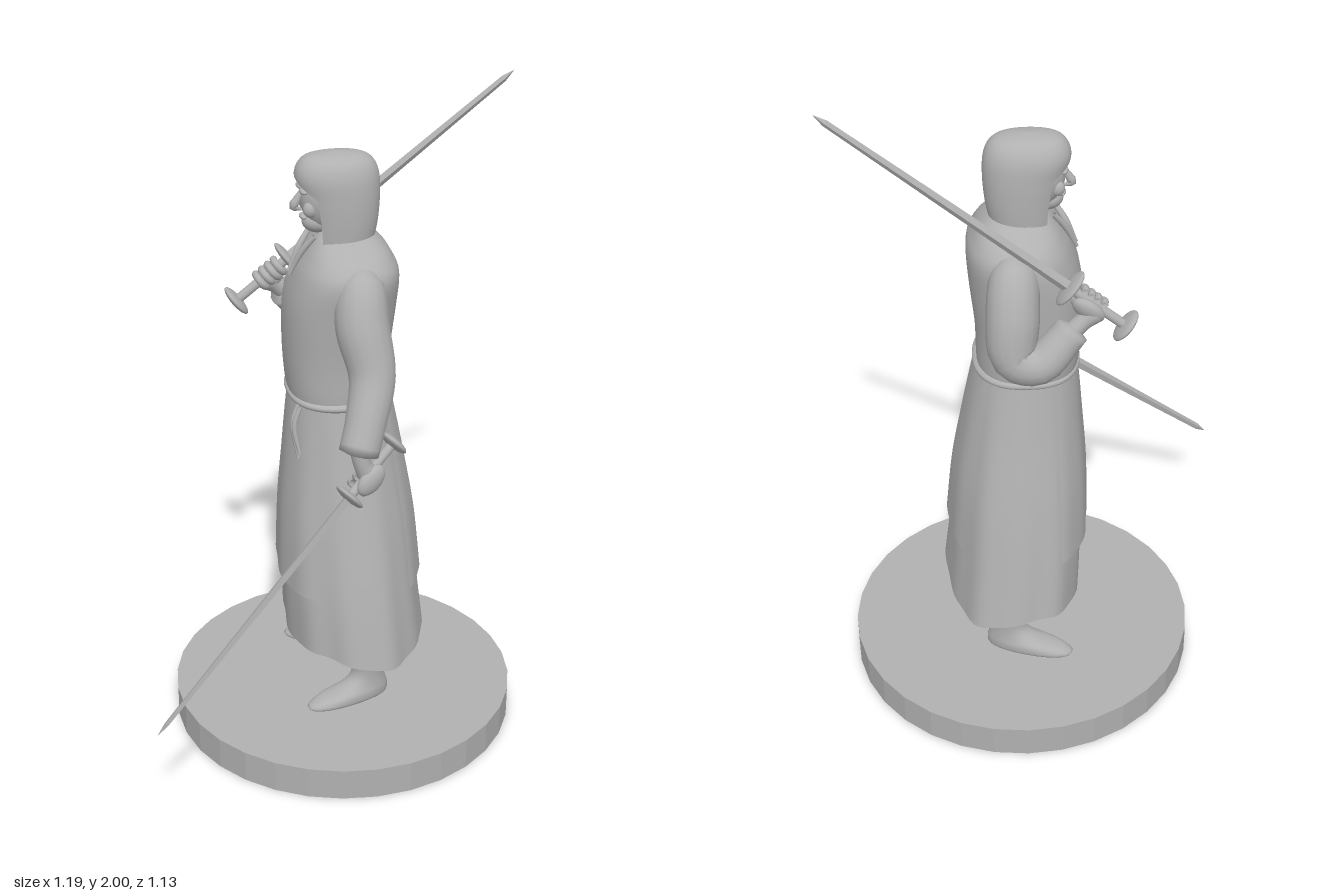
import * as THREE from 'three';
import { mergeVertices } from 'three/addons/utils/BufferGeometryUtils.js';

const stone = new THREE.MeshStandardMaterial({ color: 0xb0b0b0, side: THREE.DoubleSide });
stone.name = 'grey stone';
const V = (p) => new THREE.Vector3(p[0], p[1], p[2]);

function add(parent, name, geometry) {
  const mesh = new THREE.Mesh(geometry, stone);
  mesh.name = name;
  parent.add(mesh);
  return mesh;
}

// Catmull-Rom sample of a table of rows, t in 0..1
function sample(rows, t) {
  const n = rows.length - 1, i = Math.min(Math.floor(t * n), n - 1), f = t * n - i;
  const at = (j) => rows[Math.max(0, Math.min(n, j))];
  return rows[i].map((_, c) => {
    const [a, b, d, e] = [at(i - 1)[c], at(i)[c], at(i + 1)[c], at(i + 2)[c]];
    return b + 0.5 * f * (d - a + f * (2 * a - 5 * b + 4 * d - e + f * (3 * (b - d) + e - a)));
  });
}

function smooth(geometry) {
  geometry.deleteAttribute('normal');
  geometry.deleteAttribute('uv');
  const merged = mergeVertices(geometry, 1e-5);
  merged.computeVertexNormals();
  return merged;
}

// Skin over rows of [y, xMin, xMax, zMin, zMax]; angle 0 points to +x (the back)
function loft(rows, { e = 0.9, mid = 0, span = () => Math.PI, grow = 0, fold = () => 0, hem = () => 0, segs = 48, steps = 30 } = {}) {
  const pos = [], idx = [];
  for (let j = 0; j <= steps; j++) {
    const k = j / steps, [y, x0, x1, z0, z1] = sample(rows, k);
    for (let i = 0; i <= segs; i++) {
      const a = mid + (i / segs * 2 - 1) * span(y), c = Math.cos(a), s = Math.sin(a);
      const m = 1 + fold(a) * (1 - k);
      pos.push((x0 + x1) / 2 + ((x1 - x0) / 2 + grow) * m * Math.sign(c) * Math.abs(c) ** e,
        y + hem(a) * (1 - k) ** 4,
        (z0 + z1) / 2 + ((z1 - z0) / 2 + grow) * m * Math.sign(s) * Math.abs(s) ** e);
      if (j < steps && i < segs) {
        const p = j * (segs + 1) + i, q = p + segs + 1;
        idx.push(p, q, p + 1, p + 1, q, q + 1);
      }
    }
  }
  const g = new THREE.BufferGeometry();
  g.setAttribute('position', new THREE.Float32BufferAttribute(pos, 3));
  g.setIndex(idx);
  return smooth(g);
}

// Tube of varying radius through [x, y, z, radius]
function limb(points, segs = 28, sides = 16) {
  const curve = new THREE.CatmullRomCurve3(points.map(V));
  const g = new THREE.TubeGeometry(curve, segs, 1, sides);
  const p = g.attributes.position, v = new THREE.Vector3();
  for (let i = 0; i < p.count; i++) {
    const u = Math.floor(i / (sides + 1)) / segs, centre = curve.getPointAt(u);
    const r = Math.max(0.0005, sample(points, Math.min(1, curve.getUtoTmapping(u)))[3]);
    v.fromBufferAttribute(p, i).sub(centre).multiplyScalar(r).add(centre);
    p.setXYZ(i, v.x, v.y, v.z);
  }
  return smooth(g);
}

function ball(parent, name, [x, y, z], [rx, ry, rz]) {
  const mesh = add(parent, name, new THREE.SphereGeometry(1, 24, 16));
  mesh.position.set(x, y, z);
  mesh.scale.set(rx, ry, rz);
  return mesh;
}

// Sword along +y with its guard at the origin, and the hand round its grip
function swordInHand(name, tip, pommel, turn) {
  const g = new THREE.Group();
  g.name = name;
  const dir = V(tip).sub(V(pommel)), length = dir.length(), grip = 0.2, blade = length - grip;
  dir.normalize();
  g.position.copy(V(pommel)).addScaledVector(dir, grip);
  g.quaternion.setFromUnitVectors(new THREE.Vector3(0, 1, 0), dir);
  const flat = (geo) => { const f = geo.toNonIndexed(); f.computeVertexNormals(); return f; };
  const edge = add(g, 'blade', flat(new THREE.CylinderGeometry(0.01, 0.018, blade - 0.04, 4)));
  edge.position.y = (blade - 0.04) / 2;
  const point = add(g, 'bladePoint', flat(new THREE.ConeGeometry(0.01, 0.04, 4)));
  point.position.y = blade - 0.02;
  edge.scale.z = point.scale.z = 0.7;
  add(g, 'grip', new THREE.CylinderGeometry(0.014, 0.014, grip, 16)).position.y = -grip / 2;
  ball(g, 'guard', [0, 0, 0], [0.06, 0.013, 0.045]);
  ball(g, 'pommel', [0, -grip, 0], [0.052, 0.014, 0.045]);
  const hand = new THREE.Group();
  hand.name = 'hand';
  hand.rotation.y = turn;
  g.add(hand);
  for (let i = 0; i < 4; i++) {
    const finger = add(hand, 'finger', new THREE.TorusGeometry(0.024, 0.011, 10, 18, 4.6));
    finger.rotation.x = Math.PI / 2;
    finger.position.y = -0.035 - i * 0.023;
  }
  ball(hand, 'palm', [0.026, -0.075, 0], [0.022, 0.052, 0.036]);
  return g;
}

export function createModel() {
  const model = new THREE.Group();
  model.name = 'robedSwordsman';

  // Round base
  const base = add(model, 'base', new THREE.CylinderGeometry(0.532, 0.532, 0.1, 32).toNonIndexed());
  base.geometry.computeVertexNormals();
  base.position.set(0.055, 0.05, -0.035);

  // Legs and shoes, toes turned out
  const legRows = [[0.115, 0.03, 0.032, -0.001, 0.001], [0.115, -0.19, 0.065, -0.042, 0.042], [0.14, -0.18, 0.07, -0.048, 0.048],
    [0.165, -0.09, 0.064, -0.042, 0.042], [0.2, -0.05, 0.055, -0.04, 0.04], [0.26, -0.05, 0.055, -0.045, 0.045],
    [0.35, -0.065, 0.06, -0.052, 0.052], [0.6, -0.07, 0.07, -0.06, 0.06]];
  for (const [name, z, turn] of [['leftLeg', 0.122, 0.3], ['rightLeg', -0.197, -0.3]]) {
    const leg = add(model, name, loft(legRows, { segs: 28 }));
    leg.position.set(0.1, 0, z);
    leg.rotation.y = turn;
  }

  // Long skirt, with open panels hanging in front and behind
  const skirtRows = [[0.315, -0.13, 0.29, -0.35, 0.285], [0.5, -0.135, 0.27, -0.315, 0.25], [0.7, -0.13, 0.25, -0.275, 0.205],
    [0.9, -0.115, 0.217, -0.23, 0.16], [1.02, -0.105, 0.195, -0.205, 0.135], [1.12, -0.095, 0.175, -0.185, 0.115]];
  const fold = (a) => 0.025 * Math.sin(5 * a + 0.6) + 0.014 * Math.sin(11 * a);
  const hem = (a) => 0.012 * Math.sin(3 * a + 1) - 0.008 * Math.cos(a);
  add(model, 'skirt', loft(skirtRows, { fold, hem, segs: 72 }));
  const panelRows = [0.24, 0.42, 0.6, 0.8, 1].map((t) => sample(skirtRows, t));
  panelRows[0][0] = 0.52;
  const panelFold = (a) => fold(a) * 0.8;
  add(model, 'backPanel', loft(panelRows, { span: () => 0.8, grow: 0.014, fold: panelFold }));
  add(model, 'frontPanel', loft(panelRows, { mid: Math.PI, span: () => 1.03, grow: 0.018, fold: panelFold }));

  // Sleeveless tunic
  add(model, 'tunic', loft([[1.1, -0.09, 0.17, -0.185, 0.11], [1.12, -0.113, 0.182, -0.207, 0.127], [1.25, -0.125, 0.185, -0.215, 0.132],
    [1.4, -0.122, 0.2, -0.225, 0.15], [1.5, -0.095, 0.205, -0.228, 0.165], [1.55, -0.068, 0.185, -0.205, 0.14],
    [1.585, -0.045, 0.16, -0.15, 0.085], [1.62, -0.02, 0.12, -0.09, 0.02]], { e: 0.82 }));

  // Cord belt with hanging ends
  add(model, 'belt', loft([[1.105, -0.095, 0.175, -0.185, 0.115], [1.112, -0.117, 0.192, -0.211, 0.136],
    [1.125, -0.119, 0.194, -0.213, 0.138], [1.135, -0.105, 0.178, -0.2, 0.12]], { e: 0.82, steps: 10 }));
  for (const dz of [0, 0.025]) {
    add(model, 'beltEnd', limb([[-0.1, 1.115, 0.06 + dz, 0.007], [-0.118, 1.06, 0.068 + dz, 0.008], [-0.105, 0.95 + dz, 0.085 + dz, 0.006]], 14, 8));
  }

  // Sleeves: left arm hangs, right arm is bent up before the chest
  add(model, 'leftSleeve', limb([[0.07, 1.54, 0.08, 0.02], [0.07, 1.5, 0.125, 0.065], [0.065, 1.4, 0.165, 0.078], [0.085, 1.26, 0.215, 0.068],
    [0.055, 1.14, 0.27, 0.06], [0.025, 1.045, 0.305, 0.053], [0.026, 1.046, 0.304, 0.001]]));
  add(model, 'rightSleeve', limb([[0.075, 1.54, -0.15, 0.02], [0.075, 1.5, -0.195, 0.065], [0.08, 1.39, -0.245, 0.075], [0.075, 1.27, -0.272, 0.068],
    [0.01, 1.255, -0.285, 0.06], [-0.06, 1.32, -0.265, 0.052], [-0.095, 1.36, -0.25, 0.045], [-0.094, 1.359, -0.25, 0.001]]));
  add(model, 'leftWrist', limb([[0.03, 1.08, 0.3, 0.028], [0.04, 1.03, 0.305, 0.026], [0.058, 0.99, 0.3, 0.03], [0.06, 0.975, 0.298, 0.005]], 14, 12));
  add(model, 'rightWrist', limb([[-0.07, 1.33, -0.26, 0.028], [-0.115, 1.37, -0.248, 0.026], [-0.15, 1.395, -0.238, 0.03], [-0.165, 1.405, -0.232, 0.005]], 14, 12));

  // Swords
  model.add(swordInHand('leftSword', [-0.6, 0.36, 0.56], [0.14, 1.065, 0.258], -1.2));
  model.add(swordInHand('rightSword', [0.59, 2, -0.205], [-0.235, 1.335, -0.225], 1.0));

  // Neck, face and hood
  add(model, 'neck', limb([[0.05, 1.54, -0.035, 0.07], [0.04, 1.6, -0.035, 0.06], [0.03, 1.68, -0.035, 0.055]], 10, 20));
  ball(model, 'face', [0.025, 1.715, -0.035], [0.1, 0.105, 0.072]);
  ball(model, 'jaw', [-0.022, 1.645, -0.035], [0.048, 0.035, 0.04]);
  add(model, 'nose', limb([[-0.07, 1.735, -0.035, 0.007], [-0.086, 1.705, -0.035, 0.012], [-0.094, 1.69, -0.035, 0.012], [-0.07, 1.68, -0.035, 0.004]], 12, 10));
  ball(model, 'mouth', [-0.065, 1.66, -0.035], [0.012, 0.008, 0.022]);
  for (const s of [-1, 1]) {
    ball(model, 'brow', [-0.068, 1.743, -0.035 + s * 0.026], [0.013, 0.009, 0.024]);
    ball(model, 'cheek', [-0.05, 1.69, -0.035 + s * 0.034], [0.022, 0.024, 0.018]);
    add(model, 'collarCord', limb([[-0.04, 1.61, -0.035 + s * 0.04, 0.008], [-0.075, 1.56, -0.035 + s * 0.022, 0.01], [-0.108, 1.49, -0.035 + s * 0.012, 0.005]], 14, 8));
  }
  add(model, 'hood', loft([[1.595, -0.055, 0.14, -0.125, 0.053], [1.65, -0.062, 0.15, -0.127, 0.056], [1.72, -0.075, 0.155, -0.127, 0.056],
    [1.78, -0.09, 0.152, -0.122, 0.051], [1.82, -0.077, 0.135, -0.104, 0.034], [1.84, -0.045, 0.1, -0.075, 0.005],
    [1.848, 0.029, 0.031, -0.036, -0.034]], {
    e: 0.92, steps: 48, span: (y) => 2.25 + (Math.PI - 2.25) * THREE.MathUtils.smoothstep(y, 1.72, 1.79),
  }));
  return model;
}
